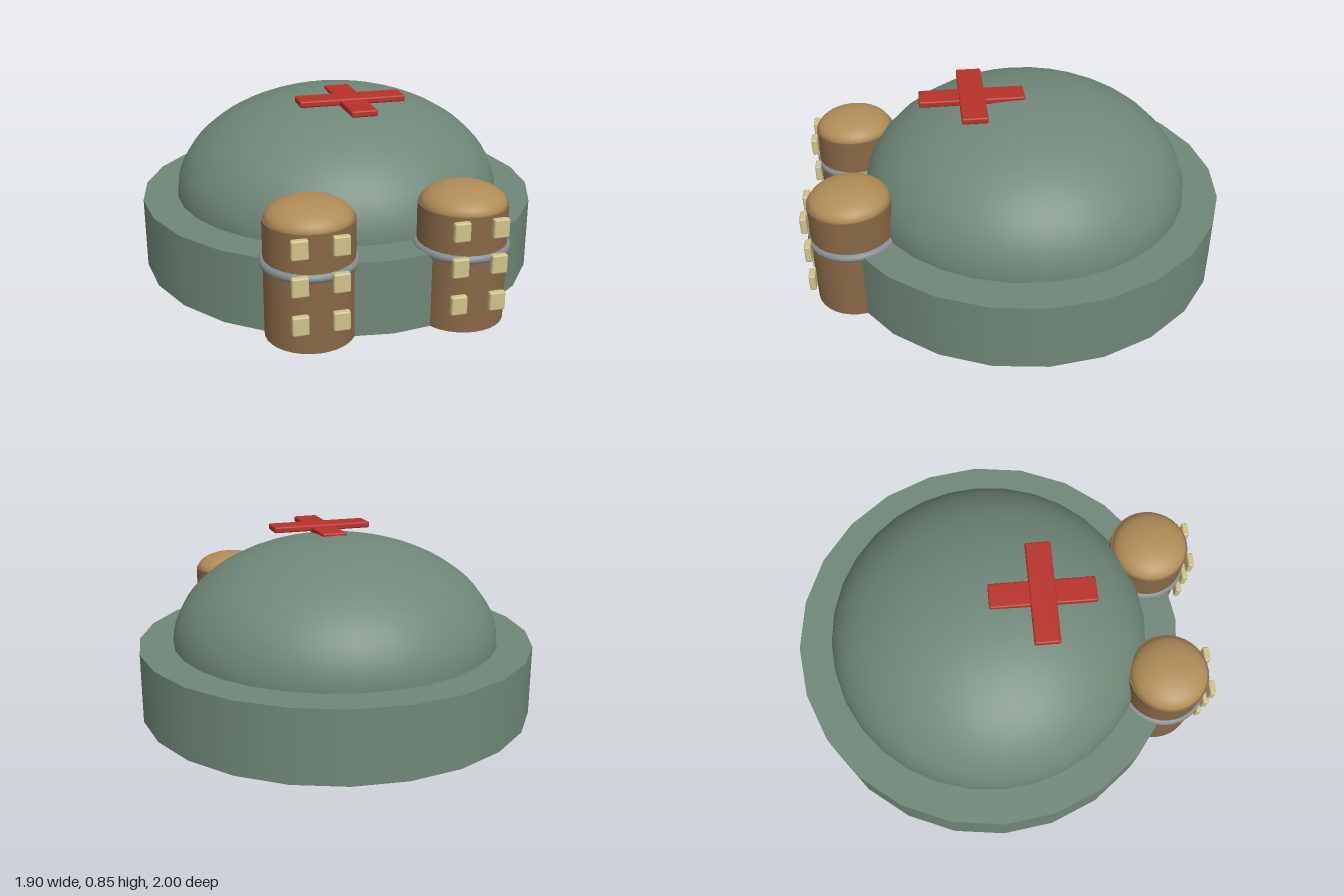
import * as THREE from 'three';
import { RoundedBoxGeometry } from 'three/addons/geometries/RoundedBoxGeometry.js';

function material(name, color) {
  const m = new THREE.MeshStandardMaterial({ color });
  m.name = name;
  return m;
}

export function createModel() {
  const model = new THREE.Group();
  model.name = 'domedShelter';

  const green = material('sage green', 0x6f8778);
  const brown = material('bark brown', 0x896846);
  const tan = material('tan', 0xb08d57);
  const cream = material('cream', 0xcfc28a);
  const steel = material('steel grey', 0x858d94);
  const red = material('red', 0xb8322a);

  function add(parent, name, geometry, mat, x, y, z) {
    const mesh = new THREE.Mesh(geometry, mat);
    mesh.name = name;
    mesh.position.set(x, y, z);
    parent.add(mesh);
    return mesh;
  }

  // Upper half of a squashed sphere
  function domeGeometry(radius, height, segments) {
    return new THREE.SphereGeometry(radius, segments, 16, 0, Math.PI * 2, 0, Math.PI / 2)
      .scale(1, height / radius, 1);
  }

  // Low 24-sided base and the large dome on it
  const centreZ = -0.05;
  add(model, 'base', new THREE.CylinderGeometry(0.952, 0.952, 0.335, 24), green, 0, 0.1675, centreZ);
  add(model, 'dome', domeGeometry(0.787, 0.497, 32), green, 0, 0.333, centreZ);

  // Flat cross lying on the front of the roof
  const cross = new THREE.Group();
  cross.name = 'roofCross';
  add(cross, 'crossLengthBar', new RoundedBoxGeometry(0.12, 0.03, 0.495, 2, 0.008), red, 0, 0.828, 0.2);
  add(cross, 'crossWidthBar', new RoundedBoxGeometry(0.495, 0.03, 0.12, 2, 0.008), red, 0, 0.835, 0.2);
  model.add(cross);

  // Two front posts, each with a cap, a ring and six small plates
  const bodyGeometry = new THREE.CylinderGeometry(0.192, 0.192, 0.517, 32);
  const capGeometry = domeGeometry(0.184, 0.084, 32);
  const ringGeometry = new THREE.TorusGeometry(0.188, 0.021, 10, 40).rotateX(Math.PI / 2);
  const plateGeometry = new RoundedBoxGeometry(0.07, 0.084, 0.03, 2, 0.008);

  for (const side of [1, -1]) {
    const post = new THREE.Group();
    post.name = side > 0 ? 'leftPost' : 'rightPost';
    post.position.set(side * 0.333, 0, 0.785);
    add(post, 'postBody', bodyGeometry, brown, 0, 0.2585, 0);
    add(post, 'postCap', capGeometry, tan, 0, 0.516, 0);
    add(post, 'postRing', ringGeometry, steel, 0, 0.332, -0.005);
    for (const y of [0.141, 0.309, 0.467]) {
      for (const x of [-0.084, 0.084]) {
        add(post, 'postPlate', plateGeometry, cream, x, y, 0.198);
      }
    }
    model.add(post);
  }

  return model;
}
